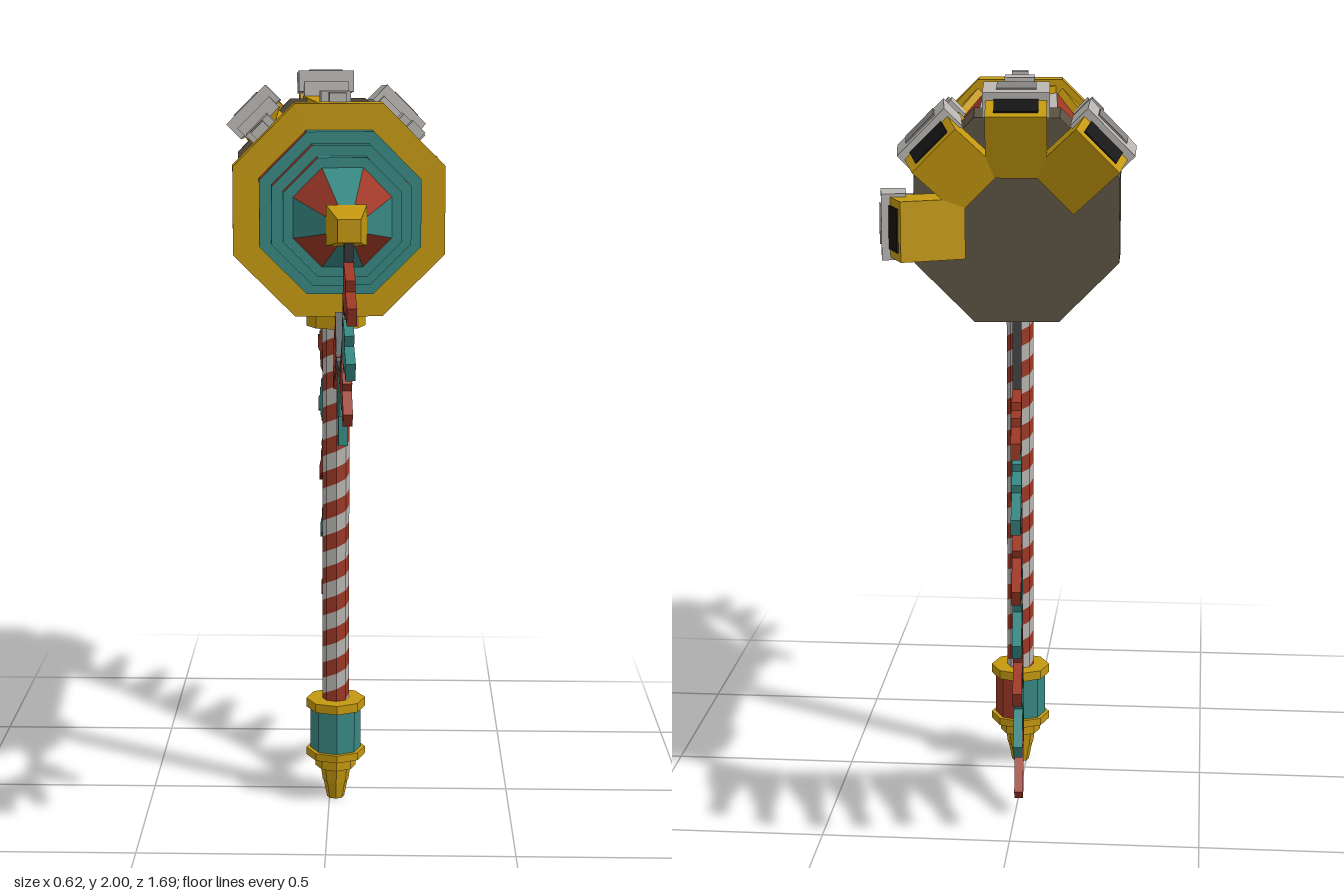
import * as THREE from 'three';

const mat = (name, color) => Object.assign(new THREE.MeshStandardMaterial({ color }), { name });
const gold = mat('gold', 0xc4980f), red = mat('red', 0x9e3826), teal = mat('teal', 0x378782);
const white = mat('off white', 0xb9b6b2), grey = mat('panel grey', 0x858381);
const brown = mat('dark brown', 0x5a5040), rope = mat('rope charcoal', 0x444446), black = mat('black', 0x141414);

const AXIS_Y = 1.665;   // height of the head's axis
const HANDLE_Z = 0.065; // offset of the handle from the centre

function add(parent, name, geo, material, x = 0, y = 0, z = 0) {
  const m = new THREE.Mesh(geo, material);
  m.name = name;
  m.position.set(x, y, z);
  parent.add(m);
  return m;
}
const box = (parent, name, size, material, x, y, z) =>
  add(parent, name, new THREE.BoxGeometry(...size), material, x, y, z);

// Flat-shaded octagonal frustum; pick(i) gives the material index of side i, caps use the last material
function octagon(rTop, rBottom, h, start, materials, pick) {
  const g = new THREE.CylinderGeometry(rTop, rBottom, h, 8, 1, false, start).toNonIndexed();
  g.computeVertexNormals();
  g.clearGroups();
  for (let i = 0; i < 8; i++) g.addGroup(i * 6, 6, pick(i));
  g.addGroup(48, 48, materials.length - 1);
  return g;
}

// Head section between two z values, given by apothems; diagonal and straight sides may differ in colour
function headSection(parent, name, z0, a0, z1, a1, diagonal, straight) {
  const k = 1 / Math.cos(Math.PI / 8), mats = [diagonal, straight];
  const g = octagon(a1 * k, a0 * k, z1 - z0, Math.PI / 8, mats, i => i % 2);
  g.rotateX(Math.PI / 2);
  add(parent, name, g, mats, 0, 0, (z0 + z1) / 2);
}

// Upright octagonal piece centred on the handle
function turned(parent, name, y0, r0, y1, r1, material) {
  add(parent, name, octagon(r1, r0, y1 - y0, 0, [material], () => 0), [material], 0, (y0 + y1) / 2, 0);
}

// One colour of the handle's spiral stripes
function stripeGeometry(parity, r, y0, y1, pitch) {
  const pos = [];
  const clamp = y => Math.min(y1, Math.max(y0, y));
  for (let i = 0; i < 8; i++) {
    const point = (j, y) => [r * Math.sin(j * Math.PI / 4), clamp(y), r * Math.cos(j * Math.PI / 4)];
    for (let k = -2 + parity; y0 + k * pitch / 2 < y1; k += 2) {
      const yl = y0 + k * pitch / 2 + i * pitch / 8, yr = yl + pitch / 8;
      if (yr + pitch / 2 <= y0 || yl >= y1) continue;
      const a = point(i, yl), b = point(i + 1, yr);
      const c = point(i + 1, yr + pitch / 2), d = point(i, yl + pitch / 2);
      pos.push(...a, ...b, ...c, ...a, ...c, ...d);
    }
  }
  const g = new THREE.BufferGeometry();
  g.setAttribute('position', new THREE.Float32BufferAttribute(pos, 3));
  g.computeVertexNormals();
  return g;
}

// Rope made of straight links through (z, y) points
function addRope(parent, name, points) {
  for (let i = 0; i < points.length - 1; i++) {
    const [z0, y0] = points[i], [z1, y1] = points[i + 1];
    const dz = z1 - z0, dy = y1 - y0;
    const m = box(parent, name, [0.022, Math.hypot(dz, dy) + 0.012, 0.028], rope, 0,
      (y0 + y1) / 2, (z0 + z1) / 2 - HANDLE_Z);
    m.rotation.x = Math.atan2(dz, dy);
  }
}

// Stepped pennant from base to tip; steps are [width, end along the length 0..1]
function addPennant(parent, material, [z0, y0, z1, y1], steps) {
  const g = new THREE.Group();
  g.name = 'pennant';
  const length = Math.hypot(z1 - z0, y1 - y0);
  let s = 0;
  for (const [w, e] of steps) {
    box(g, 'pennantStep', [0.024, (e - s) * length, w], material, 0, (s + e) / 2 * length, 0);
    s = e;
  }
  g.position.set(0, y0, z0 - HANDLE_Z);
  g.rotation.x = Math.atan2(z1 - z0, y1 - y0);
  parent.add(g);
}

// Rocket nozzle sitting on the rear of the head, y pointing outwards
function addNozzle(parent, short) {
  const front = short ? -0.61 : -0.56, len = front + 0.73;
  const housing = new THREE.Group();
  housing.name = 'nozzleHousing';
  housing.position.set(0, 0.265, front - len / 2);
  housing.rotation.x = -0.08;
  box(housing, 'housingBase', [0.13, 0.10, len], white, 0, -0.02, 0);
  box(housing, 'housingFrame', [0.16, 0.06, len - 0.02], white, 0, 0.032, -0.01);
  box(housing, 'housingPanel', [0.095, 0.006, len - 0.08], grey, 0, 0.063, 0);
  parent.add(housing);
  const nozzle = new THREE.Group();
  nozzle.name = 'nozzle';
  nozzle.position.set(0, 0.215, -0.735);
  nozzle.rotation.x = -0.35;
  box(nozzle, 'nozzleBody', [0.145, 0.16, 0.11], gold, 0, 0, 0);
  box(nozzle, 'nozzleOpening', [0.105, 0.006, 0.08], black, 0, 0.081, 0.005);
  parent.add(nozzle);
}

// Tapered strap with its flare, studs and fuse
function addStrap(parent) {
  const half = [[0.10, 0.09], [0.045, -0.01], [0.03, -0.065], [0.068, -0.57]];
  const outline = [...half, ...half.map(([u, z]) => [-u, z]).reverse()];
  const shape = new THREE.Shape(outline.map(([u, z]) => new THREE.Vector2(u, -z)));
  const g = new THREE.ExtrudeGeometry(shape, { depth: 0.022, bevelEnabled: false });
  g.rotateX(-Math.PI / 2);
  add(parent, 'strap', g, gold, 0, 0.238, 0);
  box(parent, 'largeStud', [0.08, 0.055, 0.08], white, 0, 0.27, -0.05);
  box(parent, 'smallStud', [0.045, 0.04, 0.045], white, 0, 0.28, 0.085);
  box(parent, 'fuse', [0.005, 0.005, 0.5], grey, 0, 0.272, -0.32);
}

export function createModel() {
  const model = new THREE.Group();
  model.name = 'partyHammer';
  const tool = new THREE.Group();
  tool.name = 'hammer';
  tool.position.set(0.017, 0, HANDLE_Z);
  tool.rotation.y = 0.07;
  model.add(tool);

  // Head
  const head = new THREE.Group();
  head.name = 'head';
  head.position.y = AXIS_Y;
  tool.add(head);
  headSection(head, 'rearCap', -0.635, 0.25, -0.475, 0.258, brown, brown);
  headSection(head, 'barrel', -0.48, 0.24, 0.09, 0.24, red, white);
  headSection(head, 'collar', 0.085, 0.276, 0.17, 0.276, gold, gold);
  headSection(head, 'noseStep', 0.165, 0.208, 0.235, 0.208, red, teal);
  headSection(head, 'noseStep', 0.235, 0.178, 0.29, 0.178, red, teal);
  headSection(head, 'noseStep', 0.29, 0.15, 0.34, 0.15, red, teal);
  headSection(head, 'noseCone', 0.34, 0.125, 0.525, 0.05, red, teal);

  // Square gold tip
  const tip = new THREE.CylinderGeometry(0.028 * Math.SQRT2, 0.05 * Math.SQRT2, 0.135, 4, 1, false, Math.PI / 4).toNonIndexed();
  tip.computeVertexNormals();
  tip.rotateX(Math.PI / 2);
  add(head, 'noseTip', tip, gold, 0, 0, 0.592);

  // Straps on the three upper sides, nozzles also on the left side
  for (const k of [-1, 0, 1, 2]) {
    const side = new THREE.Group();
    side.name = 'headSide';
    side.rotation.z = -k * Math.PI / 4;
    head.add(side);
    if (k < 2) addStrap(side);
    addNozzle(side, k === 2);
  }

  // Handle
  turned(tool, 'upperBracket', 1.38, 0.10, 1.42, 0.10, gold);
  turned(tool, 'lowerBracket', 1.34, 0.08, 1.38, 0.08, gold);
  add(tool, 'redStripes', stripeGeometry(0, 0.037, 0.28, 1.35, 0.09), red);
  add(tool, 'whiteStripes', stripeGeometry(1, 0.037, 0.28, 1.35, 0.09), white);
  turned(tool, 'gripTopRing', 0.265, 0.082, 0.29, 0.082, gold);
  const gripMats = [teal, red];
  add(tool, 'grip', octagon(0.07, 0.07, 0.125, 0, gripMats, i => (i === 2 || i === 3 ? 1 : 0)), gripMats, 0, 0.205, 0);
  turned(tool, 'gripBottomRing', 0.125, 0.082, 0.146, 0.082, gold);
  turned(tool, 'pommelUpper', 0.092, 0.056, 0.125, 0.056, gold);
  turned(tool, 'pommelMiddle', 0.05, 0.036, 0.092, 0.042, gold);
  turned(tool, 'pommelEnd', 0, 0.024, 0.05, 0.034, gold);

  // Rear bunting
  addRope(tool, 'rearRope', [[-0.535, 1.43], [-0.52, 1.10], [-0.48, 0.94], [-0.31, 0.57], [-0.18, 0.325], [0.01, 0.165]]);
  const rear = [
    [-0.535, 1.175, -0.84, 1.155], [-0.505, 1.035, -0.815, 0.96], [-0.445, 0.875, -0.74, 0.755],
    [-0.385, 0.71, -0.67, 0.59], [-0.31, 0.535, -0.585, 0.43], [-0.225, 0.40, -0.497, 0.25], [-0.10, 0.275, -0.325, 0.055]];
  rear.forEach((p, i) => addPennant(tool, i % 2 ? teal : red, p, [[0.125, 0.36], [0.085, 0.58], [0.042, 1]]));

  // Front bunting
  addRope(tool, 'frontRope', [[0.70, 1.655], [0.605, 1.375], [0.48, 1.27], [0.31, 1.27], [0.24, 1.39]]);
  const frontFlags = [
    [0.665, 1.54, 0.84, 1.475], [0.625, 1.405, 0.79, 1.335], [0.545, 1.305, 0.667, 1.195],
    [0.415, 1.265, 0.425, 1.085], [0.275, 1.33, 0.155, 1.20]];
  frontFlags.forEach((p, i) => addPennant(tool, i % 2 ? teal : red, p, [[0.105, 0.55], [0.047, 1]]));

  return model;
}
